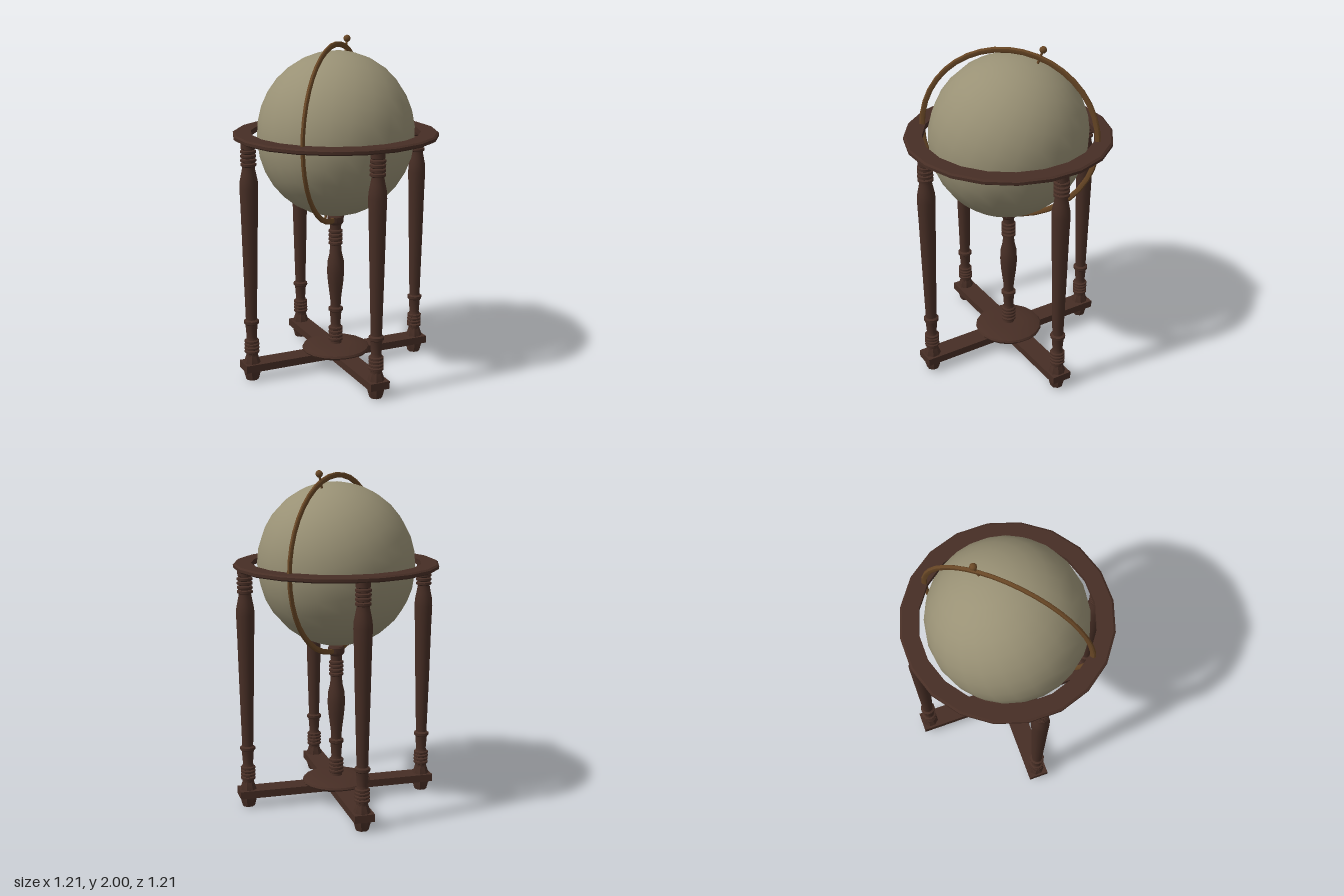
import * as THREE from 'three';
import { toCreasedNormals } from 'three/addons/utils/BufferGeometryUtils.js';

const wood = new THREE.MeshStandardMaterial({ color: 0x472e25 });
wood.name = 'dark wood';
const parchment = new THREE.MeshStandardMaterial({ color: 0x999175 });
parchment.name = 'parchment';
const brass = new THREE.MeshStandardMaterial({ color: 0x6a4826 });
brass.name = 'aged brass';

const CENTRE = 1.445; // height of the globe's centre
const TILT = THREE.MathUtils.degToRad(20);

function add(parent, name, geometry, material, x = 0, y = 0, z = 0) {
  const mesh = new THREE.Mesh(geometry, material);
  mesh.name = name;
  mesh.position.set(x, y, z);
  parent.add(mesh);
  return mesh;
}

function turned(points, sides, crease = 0.6) {
  const profile = points.map(([r, y]) => new THREE.Vector2(r, y));
  return toCreasedNormals(new THREE.LatheGeometry(profile, sides), crease);
}

// Stack of rounded beads for a turned post
function beads(count, y0, y1, rIn, rOut) {
  const step = (y1 - y0) / count;
  const out = [];
  for (let i = 0; i < count; i++) {
    const y = y0 + i * step;
    out.push([rIn, y], [rOut, y + step * 0.25], [rOut, y + step * 0.75], [rIn, y + step]);
  }
  return out;
}

export function createModel() {
  const model = new THREE.Group();
  model.name = 'floorGlobe';

  // Crossed base bars and hub
  for (const s of [1, -1]) {
    const bar = add(model, 'baseBar', new THREE.BoxGeometry(1.21, 0.045, 0.12), wood, 0, 0.083, 0);
    bar.rotation.y = s * Math.PI / 4;
  }
  add(model, 'baseHub', turned([
    [0, 0.1], [0.2, 0.1], [0.207, 0.113], [0.2, 0.124], [0.165, 0.137], [0.1, 0.143], [0, 0.143],
  ], 20), wood);

  // Four turned legs
  const foot = turned([[0, 0], [0.038, 0], [0.052, 0.055], [0.052, 0.1], [0.034, 0.155], [0, 0.155]], 8, 0.4);
  const leg = turned([
    [0.034, 0.14], ...beads(4, 0.165, 0.25, 0.034, 0.044),
    [0.03, 0.265], [0.036, 0.345], [0.045, 0.352], [0.045, 0.368], [0.033, 0.376],
    [0.034, 0.42], [0.043, 0.75], [0.05, 1.05], [0.054, 1.17], [0.052, 1.21], [0.043, 1.255], [0.037, 1.285],
    ...beads(4, 1.295, 1.395, 0.036, 0.046), [0.042, 1.4], [0.042, 1.435],
  ], 12);
  for (const x of [-0.388, 0.388]) {
    for (const z of [-0.388, 0.388]) {
      add(model, 'foot', foot, wood, x, 0, z).rotation.y = Math.PI / 8;
      add(model, 'leg', leg, wood, x, 0, z);
    }
  }

  // Central column with its cap
  add(model, 'centreColumn', turned([
    [0.04, 0.13], ...beads(4, 0.155, 0.25, 0.034, 0.044),
    [0.03, 0.265], [0.036, 0.345], [0.045, 0.352], [0.045, 0.368], [0.031, 0.376],
    [0.034, 0.43], [0.047, 0.53], [0.053, 0.6], [0.05, 0.665], [0.038, 0.715], [0.034, 0.76],
    ...beads(4, 0.768, 0.865, 0.033, 0.043), [0.035, 0.9],
  ], 12), wood);
  add(model, 'columnCap', turned([
    [0, 0.895], [0.036, 0.895], [0.048, 0.91], [0.05, 0.943], [0.044, 0.952], [0, 0.952],
  ], 12), wood);

  // Horizon ring, a twenty-sided band with moulded edges
  add(model, 'horizonRing', turned([
    [0.5, -0.016], [0.595, -0.016], [0.607, -0.008], [0.607, 0.008], [0.595, 0.016],
    [0.5, 0.016], [0.5, -0.016],
  ], 20, 0.4), wood, 0, CENTRE, 0);

  // Upright meridian ring
  const meridian = add(model, 'meridianRing', turned([
    [0.506, -0.006], [0.514, -0.01], [0.53, -0.01], [0.537, -0.005], [0.537, 0.005],
    [0.53, 0.01], [0.514, 0.01], [0.506, 0.006], [0.506, -0.006],
  ], 40, 0.5), brass, 0, CENTRE, 0);
  meridian.rotation.z = Math.PI / 2;

  // Tilted globe, axle and finial
  const globe = new THREE.Group();
  globe.name = 'globe';
  globe.position.y = CENTRE;
  globe.rotation.x = -TILT;
  model.add(globe);
  add(globe, 'sphere', new THREE.SphereGeometry(1, 24, 16), parchment).scale.set(0.465, 0.487, 0.465);
  add(globe, 'axle', new THREE.CylinderGeometry(0.007, 0.007, 1.09, 8), brass, 0, 0.025, 0);
  add(globe, 'finial', new THREE.SphereGeometry(0.021, 12, 8), brass, 0, 0.573, 0);

  return model;
}
